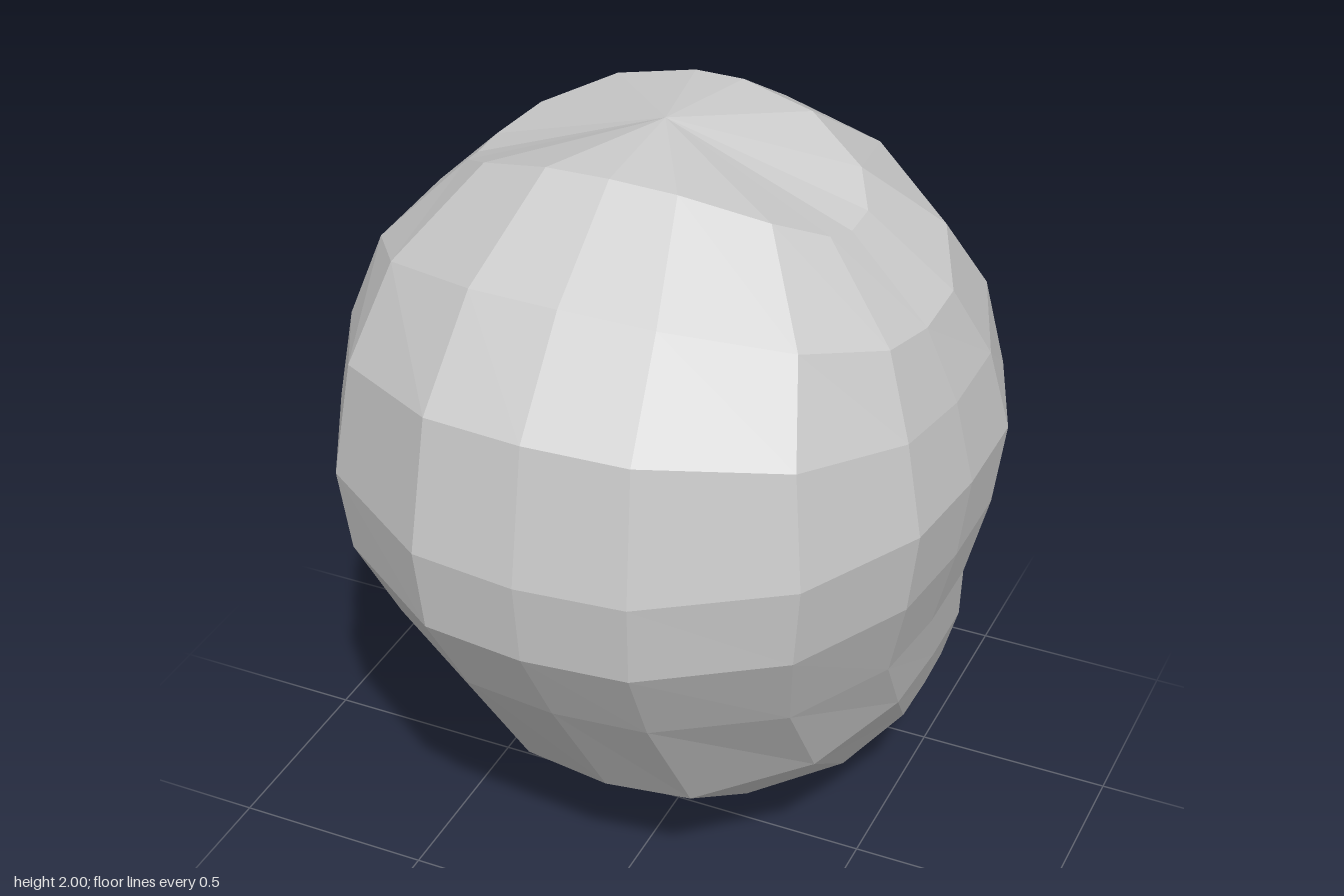
import * as THREE from 'three';

// Skin a stack of equal-length loops (top to bottom), closed by end points.
function skin(loops, top, bottom) {
  const pos = [];
  const n = loops[0].length;
  const tri = (a, b, c) => pos.push(...a, ...b, ...c);
  for (let j = 0; j < n; j++) {
    const k = (j + 1) % n;
    tri(top, loops[0][j], loops[0][k]);
    for (let i = 0; i < loops.length - 1; i++) {
      const a = loops[i][j], b = loops[i + 1][j], c = loops[i + 1][k], d = loops[i][k];
      tri(a, b, c);
      tri(a, c, d);
    }
    const last = loops[loops.length - 1];
    tri(last[j], bottom, last[k]);
  }
  const g = new THREE.BufferGeometry();
  g.setAttribute('position', new THREE.Float32BufferAttribute(pos, 3));
  g.computeVertexNormals();
  return g;
}

export function createModel() {
  const group = new THREE.Group();
  group.name = 'head';
  const mat = new THREE.MeshStandardMaterial({ color: 0xcccccc, flatShading: true });
  const add = (name, geometry) => {
    const mesh = new THREE.Mesh(geometry, mat);
    mesh.name = name;
    group.add(mesh);
  };

  // Plan outline in unit coordinates, from back centre to face centre
  const half = [[0, 1], [0.34, 0.97], [0.75, 0.74], [0.96, 0.41], [1, 0.13],
    [1, -0.2], [0.87, -0.58], [0.53, -0.89], [0.13, -1]];
  const plan = [...half, ...half.slice(1).reverse().map(([x, z]) => [-x, z])];

  // Each ring: half width, z of back / middle / face, y of back / side / face
  const rings = [
    [0.46, 0.36, 0.06, -0.23, 1.985, 1.83, 1.975],
    [0.65, 0.62, 0.04, -0.43, 1.80, 1.64, 1.85],
    [0.72, 0.81, -0.02, -0.63, 1.57, 1.45, 1.60],
    [0.762, 0.87, -0.05, -0.71, 1.24, 1.24, 1.29],
    [0.735, 0.845, -0.05, -0.69, 1.03, 1.03, 1.03],
    [0.67, 0.70, -0.08, -0.70, 0.78, 0.79, 0.78],
    [0.64, 0.43, -0.18, -0.71, 0.37, 0.60, 0.59],
    [0.57, 0.01, -0.30, -0.71, 0.06, 0.38, 0.45],
    [0.40, -0.20, -0.38, -0.64, 0.015, 0.16, 0.22],
    [0.16, -0.28, -0.40, -0.51, 0.005, 0.03, 0.04],
  ];
  const loops = rings.map(([w, zb, zm, zf, yb, ys, yf]) => plan.map(([x, t]) => {
    const s = t * t;
    return t > 0
      ? [x * w, ys + (yb - ys) * s, zm + (zb - zm) * t]
      : [x * w, ys + (yf - ys) * s, zm + (zm - zf) * t];
  }));
  add('skull', skin(loops, [0, 2, 0.07], [0, 0, -0.38]));

  // Nose: ridge, flank and root points per height, mirrored across x
  const noseRows = [
    [1.03, [0.055, -0.66], [0.05, -0.685], [0.045, -0.69]],
    [0.81, [0.085, -0.66], [0.07, -0.70], [0.03, -0.785]],
    [0.67, [0.15, -0.66], [0.09, -0.77], [0.03, -0.865]],
    [0.58, [0.175, -0.66], [0.10, -0.77], [0.03, -0.865]],
  ];
  const nose = noseRows.map(([y, ...side]) => [
    ...side.map(([x, z]) => [x, y, z]),
    ...side.slice().reverse().map(([x, z]) => [-x, y, z]),
  ]);
  add('nose', skin(nose, [0, 1.04, -0.67], [0, 0.55, -0.78]));

  return group;
}
